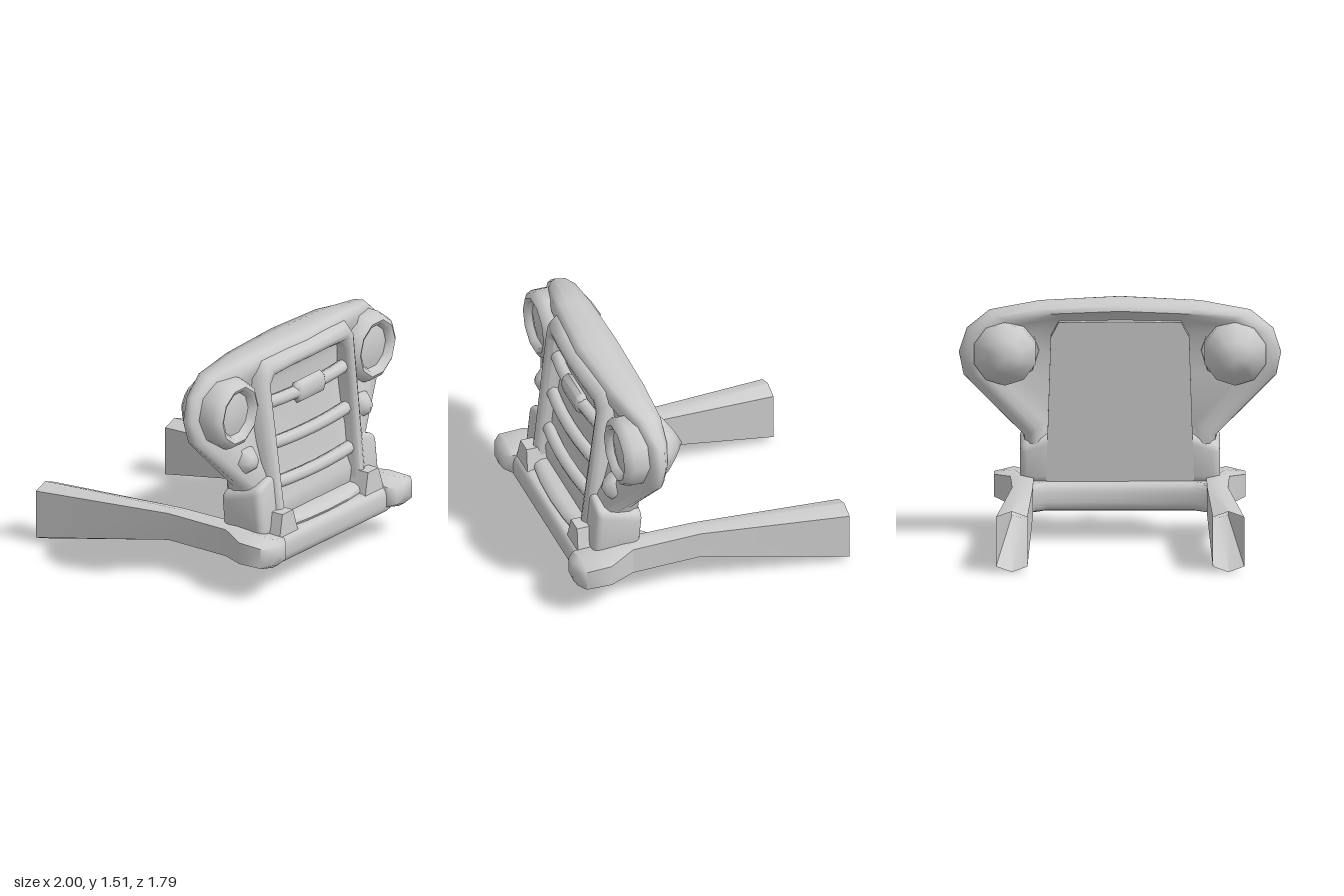
import * as THREE from 'three';
import { toCreasedNormals } from 'three/addons/utils/BufferGeometryUtils.js';
import { RoundedBoxGeometry } from 'three/addons/geometries/RoundedBoxGeometry.js';

const grey = new THREE.MeshStandardMaterial({ color: 0xcccccc });
const greyThin = new THREE.MeshStandardMaterial({ color: 0xcccccc, side: THREE.DoubleSide });

// Leaning, bowed front surface and leaning flat back plane
const zFront = (x, y) => 0.72 - 0.11 * (y - 0.6) - 0.19 * x * x;
const zBack = (y) => 0.42 - 0.09 * (y - 0.5);
const mix = THREE.MathUtils.lerp;

// Move every vertex by a rule
function warp(geo, rule) {
  const p = geo.attributes.position;
  const v = new THREE.Vector3();
  for (let i = 0; i < p.count; i++) {
    rule(v.fromBufferAttribute(p, i));
    p.setXYZ(i, v.x, v.y, v.z);
  }
  return geo;
}

// Skin closed rings, counter-clockwise from the front, listed front to back
function loft(rings) {
  const n = rings[0].length;
  const index = [];
  for (let j = 0; j < rings.length - 1; j++) {
    for (let i = 0; i < n; i++) {
      const a = j * n + i, b = j * n + (i + 1) % n;
      index.push(a, a + n, b, b, a + n, b + n);
    }
  }
  const geo = new THREE.BufferGeometry();
  geo.setAttribute('position', new THREE.Float32BufferAttribute(rings.flat(2), 3));
  geo.setIndex(index);
  return geo;
}

// Closed outline from its right half, given bottom to top
function mirroredPoints(half) {
  const other = half.filter(([x]) => x > 0).reverse().map(([x, y]) => [-x, y]);
  return [...half, ...other];
}
const toVectors = (pts) => pts.map(([x, y]) => new THREE.Vector2(x, y));

// Reflect a non-indexed geometry across x = 0 and restore its winding
function reflect(geo) {
  const g = geo.clone().scale(-1, 1, 1);
  for (const attr of [g.attributes.position, g.attributes.normal]) {
    const a = attr.array;
    for (let i = 0; i < a.length; i += 9) {
      for (let k = 0; k < 3; k++) [a[i + k], a[i + 6 + k]] = [a[i + 6 + k], a[i + k]];
    }
  }
  return g;
}

export function createModel() {
  const model = new THREE.Group();

  const add = (name, geo, crease, material = grey) => {
    geo.deleteAttribute('uv');
    const mesh = new THREE.Mesh(toCreasedNormals(geo, crease), material);
    mesh.name = name;
    model.add(mesh);
    return mesh;
  };
  const addPair = (name, geo, crease, material) => {
    const left = add('left' + name, geo, crease, material);
    const right = new THREE.Mesh(reflect(left.geometry), left.material);
    right.name = 'right' + name;
    model.add(right);
  };

  // Front shell: bowed face, rounded rim and dished back
  const outline = mirroredPoints([
    [0.6, 0.38], [0.6, 0.64], [0.97, 1.03], [1, 1.18],
    [0.95, 1.33], [0.81, 1.44], [0.5, 1.49], [0, 1.51],
  ]);
  // [scale, depth from front to back, sunk distance]
  const shellRings = [
    [0, 0, 0.06], [0.5, 0, 0.06], [0.72, 0, 0.03], [0.8, 0, 0], [0.94, 0, 0], [0.985, 0.1, 0],
    [1, 0.28, 0], [0.985, 0.65, 0], [0.93, 0.95, 0], [0.86, 1, 0], [0.78, 0.85, 0],
    [0.66, 0.7, 0], [0, 0.65, 0],
  ];
  add('shell', loft(shellRings.map(([s, t, sunk]) => outline.map(([px, py]) => {
    const x = px * s, y = 1.05 + (py - 1.05) * s;
    return [x, y, mix(zFront(x, y), zBack(y), t) - sunk];
  }))), 1.1);

  // Flat back panel with clipped top corners
  const panel = new THREE.Shape(toVectors(mirroredPoints([
    [0.46, 0.34], [0.43, 1.28], [0.38, 1.375], [0, 1.38],
  ])));
  add('backPanel', warp(
    new THREE.ExtrudeGeometry(panel, { depth: 0.12, bevelEnabled: false }),
    (v) => { v.z += zBack(v.y) - 0.005; }
  ), 0.4);

  // Grille surround: rounded section between an inner and an outer outline
  const outer = mirroredPoints([
    [0, 0.34], [0.2, 0.34], [0.47, 0.34], [0.485, 1.38], [0.43, 1.45], [0.2, 1.463], [0, 1.465],
  ]);
  const inner = mirroredPoints([
    [0, 0.42], [0.2, 0.42], [0.375, 0.42], [0.4, 1.28], [0.36, 1.335], [0.2, 1.352], [0, 1.355],
  ]);
  // [inner to outer, height above the face]
  const section = [
    [0, -0.1], [0, 0.005], [0.2, 0.04], [0.5, 0.052], [0.8, 0.04], [1, 0.005], [1, -0.1],
  ];
  add('grilleSurround', loft(section.map(([u, h]) => inner.map(([ix, iy], i) => {
    const x = mix(ix, outer[i][0], u), y = mix(iy, outer[i][1], u);
    return [x, y, zFront(x, y) + h];
  }))), 0.9);

  // Bowed horizontal grille bars
  [1.16, 0.895, 0.64].forEach((y, i) => {
    const bar = new THREE.CylinderGeometry(0.042, 0.042, 0.82, 8, 6).rotateZ(Math.PI / 2);
    add('grilleBar' + (i + 1), warp(bar, (v) => {
      v.y += y;
      v.z += zFront(v.x, y) - 0.028;
    }), 0.9);
  });

  // Blank badge on the top bar
  const badge = new THREE.LatheGeometry(toVectors([
    [0, -0.168], [0.02, -0.165], [0.075, -0.118], [0.075, 0.118], [0.02, 0.165], [0, 0.168],
  ]), 8).rotateZ(Math.PI / 2).scale(1, 1, 0.6);
  add('badge', badge.translate(0, 1.158, 0.634), 0.9);

  // Headlights: rolled ring around a shallow lens
  const headlight = new THREE.LatheGeometry(toVectors([
    [0.21, 0.42], [0.228, 0.5], [0.228, 0.585], [0.21, 0.622], [0.182, 0.64],
    [0.155, 0.627], [0.14, 0.595], [0.08, 0.608], [0, 0.612],
  ]), 10).rotateX(Math.PI / 2).rotateZ(Math.PI / 10);
  addPair('Headlight', headlight.translate(0.715, 1.188, 0), 0.8, greyThin);

  // Headlight housings: smooth cones behind the shell
  const housing = new THREE.LatheGeometry(
    toVectors([[0.2, -0.1], [0.2, 0.005], [0.105, 0.085], [0, 0.155]]), 10
  ).rotateX(-Math.PI / 2 - 0.1);
  addPair('HeadlightHousing', housing.translate(0.715, 1.175, 0.345), 1.6, greyThin);

  // Hexagonal domed side lamps
  const lamp = new THREE.LatheGeometry(
    toVectors([[0.09, -0.08], [0.09, -0.02], [0.05, 0.025], [0, 0.045]]), 6
  ).rotateX(Math.PI / 2).rotateZ(Math.PI / 6);
  addPair('SideLamp', lamp.translate(0.592, 0.842, 0.632), 1.2, greyThin);

  // Pedestals under the shell, tops sloping down rearward and outward
  const pedestal = new RoundedBoxGeometry(0.21, 0.32, 0.31, 2, 0.045).translate(0.515, 0.51, 0.57);
  addPair('Pedestal', warp(pedestal, (v) => {
    if (v.y > 0.5) v.y += 0.35 * (0.6 - v.x) - 0.3 * (0.68 - v.z);
    v.z -= 0.1 * (v.y - 0.5);
  }), 0.9);

  // Tapered feet at the base of the surround
  const foot = new THREE.BoxGeometry(0.2, 0.16, 0.13);
  addPair('SurroundFoot', warp(foot, (v) => {
    if (v.y > 0) { v.x *= 0.55; v.z -= 0.01; }
    v.x += 0.445;
    v.y += 0.42;
    v.z += 0.75;
  }), 0.3);

  // Deep cross member with splayed rear corners
  const plan = new THREE.Shape(toVectors(mirroredPoints([
    [0.59, -0.84], [0.59, -0.25], [0.45, -0.355], [0, -0.355],
  ])));
  const cross = new THREE.ExtrudeGeometry(plan, {
    depth: 0.06, bevelThickness: 0.06, bevelSize: 0.05, bevelOffset: -0.05, bevelSegments: 3,
  }).rotateX(-Math.PI / 2);
  add('crossMember', cross.translate(0, 0.245, 0), 0.8);

  // Hexagonal section: z, x0, x1, bottom, top, ridge
  const hexagon = ([z, x0, x1, b, t, c]) => {
    const xm = (x0 + x1) / 2;
    return [
      [x1, b + c, z], [x1, t - c, z], [xm, t, z],
      [x0, t - c, z], [x0, b + c, z], [xm, b, z],
    ];
  };
  const joint = [0.5, 0.535, 0.68, 0.195, 0.4, 0.015];

  // Rounded bumper horns tapering into the rails
  addPair('BumperHorn', loft([
    [0.895, 0.655, 0.655, 0.3, 0.3, 0],
    [0.89, 0.575, 0.735, 0.235, 0.365, 0.015],
    [0.845, 0.535, 0.78, 0.205, 0.395, 0.03],
    [0.68, 0.535, 0.78, 0.2, 0.4, 0.03],
    joint,
  ].map(hexagon)), 1.25, greyThin);

  // Chassis rails, deeper and open at the rear
  addPair('ChassisRail', loft([
    joint,
    [0.05, 0.54, 0.67, 0.195, 0.4, 0.015],
    [-0.9, 0.575, 0.77, 0, 0.38, 0.035],
  ].map(hexagon)), 0.6, greyThin);

  return model;
}
